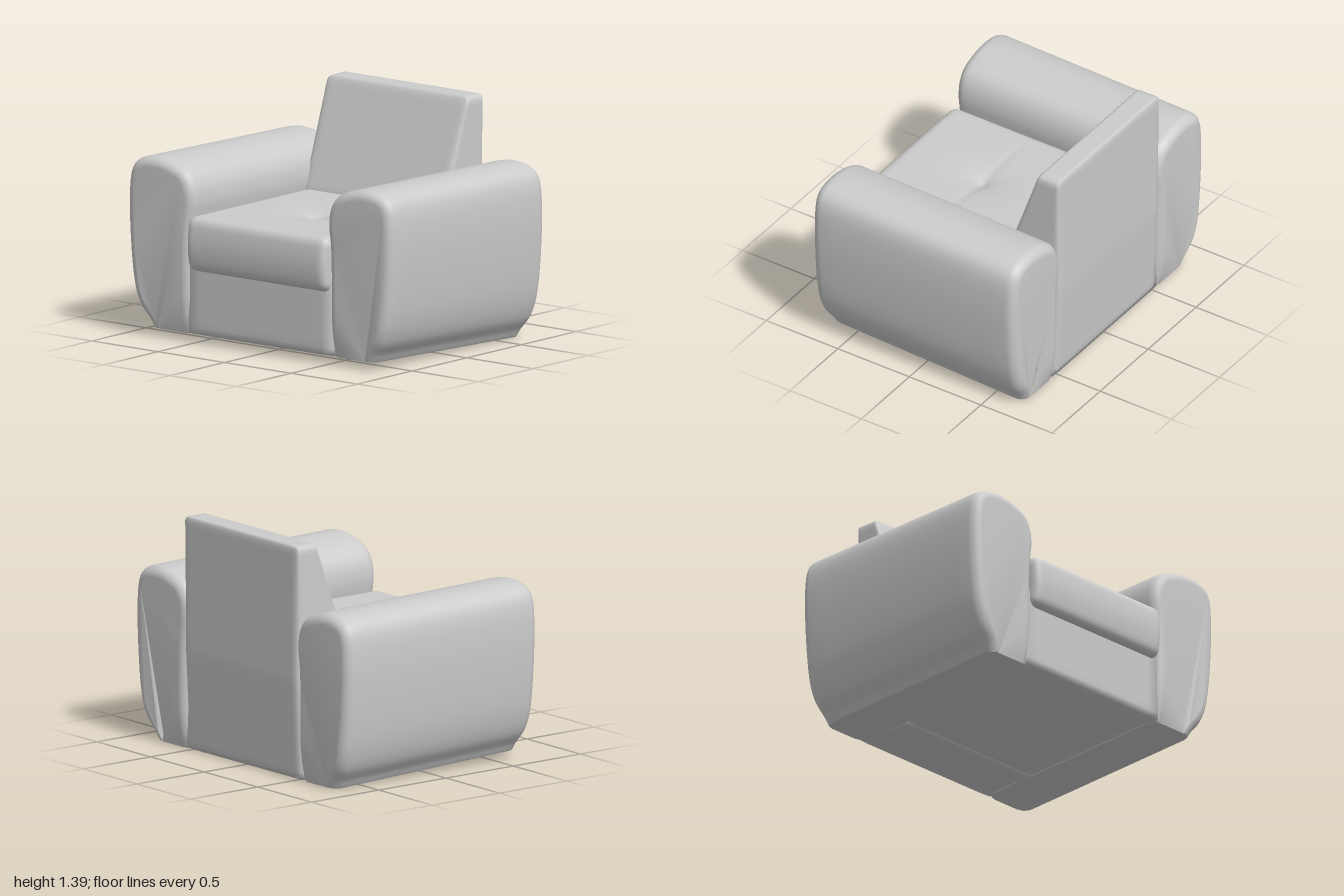
import * as THREE from 'three';
import { mergeVertices, toCreasedNormals } from 'three/addons/utils/BufferGeometryUtils.js';

const material = new THREE.MeshStandardMaterial({ color: 0xcccccc });

// Move every vertex by a rule
function deform(geometry, rule) {
  const p = geometry.attributes.position;
  const v = new THREE.Vector3();
  for (let i = 0; i < p.count; i++) {
    rule(v.fromBufferAttribute(p, i));
    p.setXYZ(i, v.x, v.y, v.z);
  }
  return geometry;
}

// The underside rises slightly towards the front
function tilt(v) {
  v.y = Math.max(v.y, 0);
  v.y += 0.036 * (v.z + 0.7) * (1 - 0.45 * v.y);
}

// Finely divided box with rounded edges, spanning min to max, then shaped by a rule
function softBox(min, max, radius, segments, rule) {
  const lo = new THREE.Vector3(...min), hi = new THREE.Vector3(...max);
  const size = hi.clone().sub(lo), mid = lo.clone().add(hi).multiplyScalar(0.5);
  const inner = size.clone().multiplyScalar(0.5).subScalar(radius);
  const core = new THREE.Vector3();
  let g = new THREE.BoxGeometry(size.x, size.y, size.z, ...segments);
  g.deleteAttribute('normal');
  g.deleteAttribute('uv');
  g = mergeVertices(g);
  deform(g, v => {
    core.copy(v).clamp(inner.clone().negate(), inner);
    v.sub(core);
    if (v.lengthSq() > 0) v.setLength(radius);
    v.add(core).add(mid);
    rule(v);
  });
  g.computeVertexNormals();
  return g;
}

// Padded armrest: outline swept from back to front with rounded ends
function armGeometry(side) {
  const outline = [
    [0.82, -0.06], [0.85, 0.03], [0.92, 0.13], [0.965, 0.28], [0.99, 0.5], [1, 0.75],
    [0.985, 0.93], [0.93, 1.01], [0.82, 1.04], [0.7, 1.03], [0.58, 0.985], [0.52, 0.91],
    [0.5, 0.8], [0.515, 0.65], [0.52, 0.4], [0.52, -0.06],
  ].map(([x, y]) => new THREE.Vector2(side * x, y));
  const shape = new THREE.Shape(new THREE.SplineCurve(outline).getPoints(75));
  const g = new THREE.ExtrudeGeometry(shape, {
    depth: 1.29, steps: 12, bevelEnabled: true,
    bevelThickness: 0.065, bevelSize: 0.06, bevelOffset: -0.06, bevelSegments: 7,
  });
  g.translate(0, 0, -0.665);
  deform(g, v => {
    // Lower ends tuck inwards
    v.z *= 1 - 0.05 * Math.max(0, 1 - v.y / 0.25) ** 2;
    tilt(v);
  });
  return toCreasedNormals(g, 0.7);
}

export function createModel() {
  const group = new THREE.Group();
  const add = (name, geometry) => {
    const mesh = new THREE.Mesh(geometry, material);
    mesh.name = name;
    group.add(mesh);
  };

  add('leftArm', armGeometry(1));
  add('rightArm', armGeometry(-1));

  // Front panel and floor under the seat
  add('base', softBox([-0.55, 0, -0.7], [0.55, 0.5, 0.67], 0.015, [12, 10, 12], tilt));

  // Wedge-shaped backrest, upright behind and sloping in front
  add('backrest', softBox([-0.53, 0, -0.73], [0.53, 1.395, -0.35], 0.035, [36, 48, 16], v => {
    const depth = 0.38 - 0.36 * Math.max(0, v.y - 0.75);
    const lean = 0.03 * Math.max(0, 1 - v.y / 0.6);
    v.z = -0.73 + (v.z + 0.73) * depth / 0.38 + lean;
  }));

  // Seat cushion with a bulging front, a cross crease and a tufted dimple
  add('seatCushion', softBox([-0.525, 0.43, -0.45], [0.525, 0.755, 0.71], 0.05, [56, 16, 62], v => {
    const top = THREE.MathUtils.smoothstep(v.y, 0.6, 0.74);
    const front = THREE.MathUtils.smoothstep(v.z, 0.5, 0.71);
    const dz = v.z - 0.16;
    const dimple = 0.05 * Math.exp(-Math.hypot(v.x, dz) / 0.1);
    const crease = 0.007 * Math.exp(-((dz / 0.025) ** 2)) * Math.max(0, 1 - (v.x / 0.5) ** 2);
    v.y -= top * (dimple + crease);
    v.z += front * 0.02 * Math.sin(Math.PI * THREE.MathUtils.clamp((v.y - 0.43) / 0.32, 0, 1));
  }));

  return group;
}
